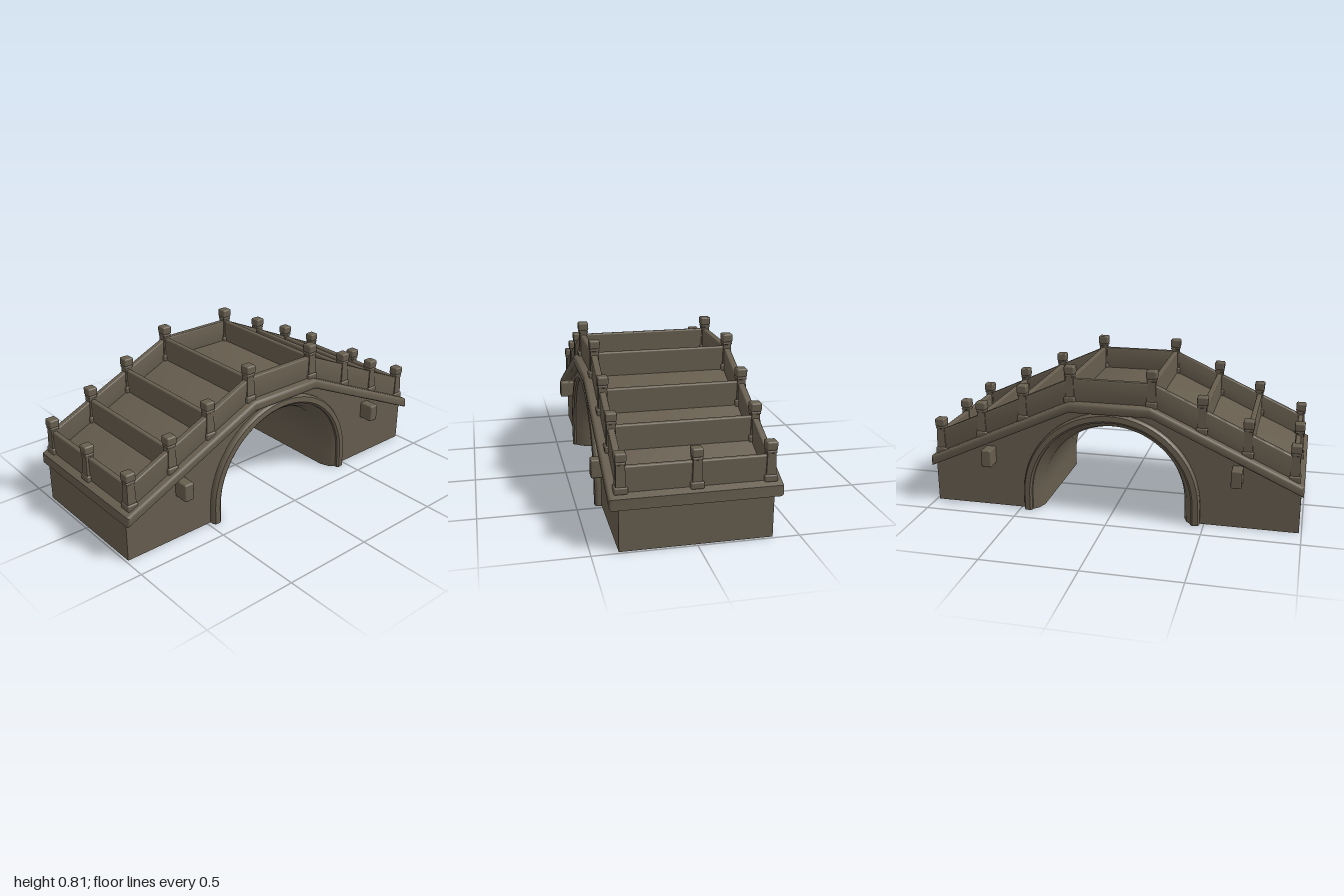
import * as THREE from 'three';
import { toCreasedNormals } from 'three/addons/utils/BufferGeometryUtils.js';
import { RoundedBoxGeometry } from 'three/addons/geometries/RoundedBoxGeometry.js';
import { ParametricGeometry } from 'three/addons/geometries/ParametricGeometry.js';

const CREST = 0.215; // half length of the level stretch
const SPRING = 0.095; // height of the arch centre
const POST_Z = [0.215, 0.475, 0.71, 0.95];
const RAIL_X = 0.355;

// Height of the deck surface along the bridge
const deckY = (z) => 0.625 - Math.max(0, Math.abs(z) - CREST) * 0.457;

export function createModel() {
  const stone = new THREE.MeshStandardMaterial({ color: 0x665d4e, side: THREE.DoubleSide });
  stone.name = 'weathered stone';
  const bridge = new THREE.Group();
  bridge.name = 'stoneArchBridge';

  const add = (name, geometry, x = 0, y = 0, z = 0, parent = bridge) => {
    const mesh = new THREE.Mesh(geometry, stone);
    mesh.name = name;
    mesh.position.set(x, y, z);
    parent.add(mesh);
    return mesh;
  };

  // Band that follows the deck line, centred on x = 0
  const deckBand = (low, high, halfLength, width, bevel) => {
    const zs = [-halfLength, -CREST, CREST, halfLength];
    const shape = new THREE.Shape([
      ...zs.map((z) => new THREE.Vector2(z, deckY(z) + low)),
      ...zs.reverse().map((z) => new THREE.Vector2(z, deckY(z) + high)),
    ]);
    const g = new THREE.ExtrudeGeometry(shape, {
      depth: width - 2 * bevel, bevelEnabled: true, bevelThickness: bevel,
      bevelSize: bevel, bevelOffset: -bevel, bevelSegments: 3,
    });
    g.translate(0, 0, -(width - 2 * bevel) / 2);
    g.rotateY(Math.PI / 2);
    return toCreasedNormals(g, 0.6);
  };

  // Deck slab with rounded cornice edges
  add('deckAndCornice', deckBand(-0.055, 0, 1, 0.83, 0.016));

  // Side walls with the arch cut out
  const R = 0.45, END = 0.987;
  const wall = new THREE.Shape();
  wall.moveTo(-END, 0);
  wall.lineTo(-R, 0);
  wall.lineTo(-R, SPRING);
  wall.absarc(0, SPRING, R, Math.PI, 0, true);
  wall.lineTo(R, 0);
  wall.lineTo(END, 0);
  for (const z of [END, CREST, -CREST, -END]) wall.lineTo(z, deckY(z) - 0.03);
  wall.closePath();
  for (const s of [-1, 1]) {
    const g = new THREE.ShapeGeometry(wall, 40);
    g.rotateY(s * Math.PI / 2);
    add(s > 0 ? 'leftSpandrelWall' : 'rightSpandrelWall', g, s * 0.37);
  }

  // End walls of the hollow abutments
  for (const s of [-1, 1]) {
    const g = new THREE.PlaneGeometry(0.74, 0.24);
    if (s < 0) g.rotateY(Math.PI);
    add(s > 0 ? 'frontEndWall' : 'backEndWall', g, 0, 0.12, s * END);
  }

  // Arch: a cross-section (radius, x) swept up one leg, round and down the other
  const archSweep = (section) => {
    const steps = 44;
    const g = new ParametricGeometry((u, v, target) => {
      const [r, x] = section[Math.round(u * (section.length - 1))];
      const k = Math.round(v * steps);
      const a = THREE.MathUtils.clamp((k - 1) / (steps - 2), 0, 1) * Math.PI;
      const y = k === 0 || k === steps ? 0 : SPRING + r * Math.sin(a);
      target.set(x, y, r * Math.cos(a));
    }, section.length - 1, steps);
    return toCreasedNormals(g, 0.5);
  };
  add('archBarrel', archSweep([[0.43, 0.385], [0.405, 0.36], [0.387, 0.31],
    [0.387, -0.31], [0.405, -0.36], [0.43, -0.385]]));
  for (const s of [-1, 1]) {
    const section = [[0.478, 0.365], [0.478, 0.39], [0.47, 0.403], [0.442, 0.405], [0.431, 0.396], [0.43, 0.38]];
    add(s > 0 ? 'leftArchMoulding' : 'rightArchMoulding',
      archSweep(section.map(([r, x]) => [r, s * x])));
  }

  // Protruding stone blocks on the sides
  const block = new RoundedBoxGeometry(0.1, 0.095, 0.055, 2, 0.008);
  for (const sx of [-1, 1]) for (const sz of [-1, 1]) {
    add('sideBlock', block, sx * 0.4, 0.293, sz * 0.665);
  }

  // Parapet panels along both sides
  for (const s of [-1, 1]) {
    add(s > 0 ? 'leftParapet' : 'rightParapet', deckBand(-0.01, 0.118, 0.955, 0.034, 0.007), s * RAIL_X);
  }

  // Low walls across the deck at every pair of posts
  const crossWall = new RoundedBoxGeometry(2 * RAIL_X, 0.14, 0.028, 2, 0.008);
  for (const z of POST_Z) for (const s of [-1, 1]) {
    add('crossWall', crossWall, 0, deckY(z) + 0.049, s * z);
  }

  // Posts: foot, shaft, collar and cap
  const foot = new RoundedBoxGeometry(0.066, 0.036, 0.06, 2, 0.008);
  const shaft = new THREE.CylinderGeometry(0.029, 0.035, 0.13, 4);
  shaft.rotateY(Math.PI / 4);
  const shaftFlat = toCreasedNormals(shaft, 0.5);
  const collar = new RoundedBoxGeometry(0.05, 0.014, 0.05, 2, 0.005);
  const cap = new RoundedBoxGeometry(0.055, 0.044, 0.055, 2, 0.008);
  const addPost = (x, z) => {
    const post = new THREE.Group();
    post.name = 'post';
    post.position.set(x, deckY(z), z);
    add('postFoot', foot, 0, 0.006, 0, post);
    add('postShaft', shaftFlat, 0, 0.07, 0, post);
    add('postCollar', collar, 0, 0.135, 0, post);
    add('postCap', cap, 0, 0.164, 0, post);
    bridge.add(post);
  };
  for (const s of [-1, 1]) {
    for (const z of POST_Z) for (const x of [-RAIL_X, RAIL_X]) addPost(x, s * z);
    addPost(0, s * 0.955);
  }

  return bridge;
}
